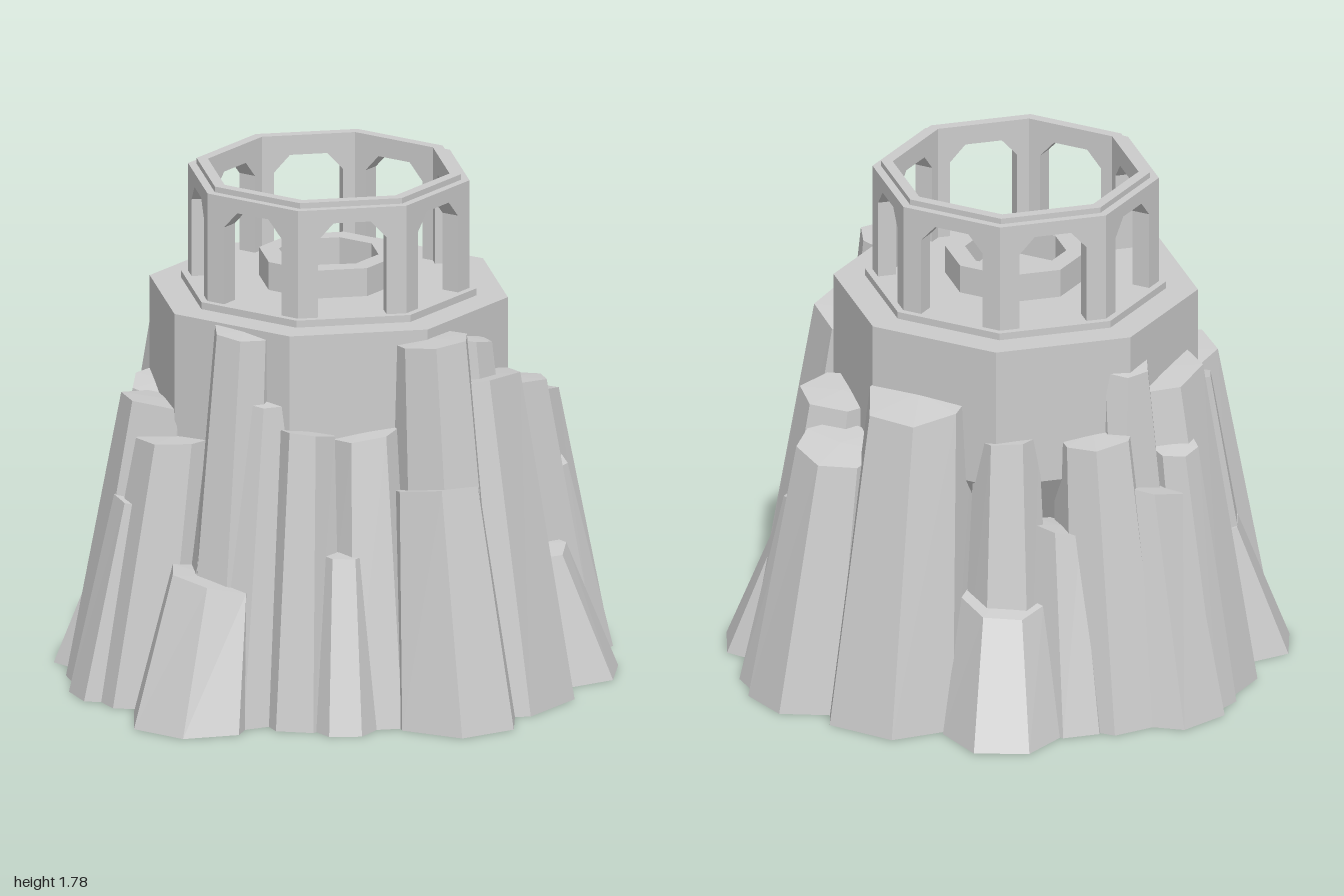
import * as THREE from 'three';

const CX = -0.03, CZ = -0.015; // axis of the pavilion

// small seeded generator for the irregular rock outlines
function seeded(seed) {
  let s = seed;
  return () => (s = (s * 16807) % 2147483647) / 2147483647;
}

// rock columns: base x, base z, radius, height
const broadColumns = [
  [-0.33, 0.76, 0.24, 0.48], [-0.07, -0.79, 0.22, 0.45], [0.77, -0.09, 0.21, 0.45], [-0.775, 0.07, 0.21, 0.45],
  [0.54, 0.56, 0.24, 0.8], [0.59, 0.25, 0.3, 1.12], [0.3, -0.62, 0.29, 1.13], [-0.62, -0.25, 0.27, 1.13],
  [-0.18, 0.55, 0.3, 1.11], [0.24, 0.58, 0.2, 0.99], [-0.55, 0.48, 0.22, 0.91], [-0.63, 0.32, 0.25, 0.99],
  [-0.42, -0.58, 0.21, 1.0], [-0.6, -0.51, 0.22, 0.8], [0.62, -0.52, 0.22, 0.9], [0.66, -0.26, 0.21, 1.0],
];
const slimColumns = [
  [0.19, 0.74, 0.13, 0.59], [0.03, 0.7, 0.15, 1.0], [-0.68, 0.49, 0.15, 0.68], [0.74, -0.42, 0.14, 0.68],
  [0.51, 0.5, 0.2, 1.31], [-0.25, 0.64, 0.16, 1.33], [0.6, 0.27, 0.15, 1.27], [-0.52, -0.48, 0.15, 1.23],
  [-0.07, -0.66, 0.18, 1.0], [-0.29, -0.68, 0.15, 0.68], [-0.7, 0.08, 0.18, 1.0], [-0.72, -0.43, 0.12, 0.92],
];

// tapered seven-sided column leaning to the axis, open below, with a sloping top
function columnGeometry([x, z, r, h], rand) {
  const n = 7, pos = [], idx = [];
  const out = Math.atan2(z, x), dist = Math.hypot(x, z);
  const lean = (dist - 0.12) / dist;
  const tx = (rand() - 0.5) * 0.3, tz = (rand() - 0.5) * 0.3;
  for (let i = 0; i < n; i++) {
    // the first two corners bound the outward face and stay regular
    const a = out + ((i - 0.5) / n) * Math.PI * 2 + (i > 1 ? (rand() - 0.5) * 0.25 : 0);
    const k = i > 1 ? r * (0.9 + 0.1 * rand()) : r;
    const dx = Math.cos(a) * k, dz = Math.sin(a) * k;
    pos.push(x + dx, 0, z + dz);
    pos.push(x * lean + dx * 0.7, h + dx * tx + dz * tz, z * lean + dz * 0.7);
  }
  pos.push(x * lean, h + 0.005, z * lean);
  for (let i = 0; i < n; i++) {
    const a = 2 * i, b = 2 * ((i + 1) % n);
    idx.push(a, a + 1, b, b, a + 1, b + 1, a + 1, 2 * n, b + 1);
  }
  const geo = new THREE.BufferGeometry();
  geo.setAttribute('position', new THREE.Float32BufferAttribute(pos, 3));
  geo.setIndex(idx);
  const flat = geo.toNonIndexed();
  flat.computeVertexNormals();
  return flat;
}

// one arched bay whose ends are mitred to meet the neighbours
function archGeometry(outer, inner, y0, y1) {
  const half = outer * Math.sin(Math.PI / 8);
  const apo = outer * Math.cos(Math.PI / 8), depth = (outer - inner) * Math.cos(Math.PI / 8);
  const shape = new THREE.Shape([
    [-half, y0], [-0.12, y0], [-0.12, 1.65], [-0.065, 1.71], [0.065, 1.71],
    [0.12, 1.65], [0.12, y0], [half, y0], [half, y1], [-half, y1],
  ].map(([x, y]) => new THREE.Vector2(x, y)));
  const geo = new THREE.ExtrudeGeometry(shape, { depth, bevelEnabled: false });
  const p = geo.attributes.position;
  for (let i = 0; i < p.count; i++) {
    const x = p.getX(i), z = apo - depth + p.getZ(i);
    p.setXYZ(i, Math.abs(x) > 0.13 ? x * z / apo : x, p.getY(i), z);
  }
  geo.computeVertexNormals();
  return geo;
}

function lathe(points) {
  return new THREE.LatheGeometry(points.map(([r, y]) => new THREE.Vector2(r, y)), 8);
}

export function createModel() {
  const model = new THREE.Group();
  const stone = new THREE.MeshStandardMaterial({ color: 0xcccccc, flatShading: true });
  const rock = new THREE.MeshStandardMaterial({ color: 0xcccccc, flatShading: true, side: THREE.DoubleSide });
  const add = (parent, name, geo, mat = stone) => {
    const mesh = new THREE.Mesh(geo, mat);
    mesh.name = name;
    parent.add(mesh);
    return mesh;
  };

  // cliff of rock columns
  const cliff = new THREE.Group();
  cliff.name = 'cliff';
  model.add(cliff);
  const rand = seeded(4711);
  for (const c of broadColumns) add(cliff, 'broadRockColumn', columnGeometry(c, rand), rock);
  for (const c of slimColumns) add(cliff, 'slimRockColumn', columnGeometry(c, rand), rock);

  // octagonal pavilion
  const pavilion = new THREE.Group();
  pavilion.name = 'pavilion';
  pavilion.position.set(CX, 0, CZ);
  model.add(pavilion);

  // core with terrace and step, narrowing inside the cliff
  add(pavilion, 'core', lathe([
    [0, 0.2], [0.175, 0.2], [0.63, 0.85], [0.63, 1.35], [0.52, 1.35], [0.52, 1.375], [0, 1.375],
  ]));
  // low basin in the middle
  add(pavilion, 'basin', lathe([
    [0.245, 1.375], [0.245, 1.475], [0.175, 1.475], [0.175, 1.38], [0, 1.38],
  ]));
  // arcade of eight bays
  const bay = archGeometry(0.495, 0.425, 1.375, 1.76);
  for (let i = 0; i < 8; i++) {
    add(pavilion, 'archBay', bay).rotation.y = (i + 0.5) * Math.PI / 4;
  }
  // rim on top of the arcade
  add(pavilion, 'rim', lathe([[0.425, 1.76], [0.465, 1.76], [0.465, 1.78], [0.425, 1.78], [0.425, 1.76]]));
  return model;
}
